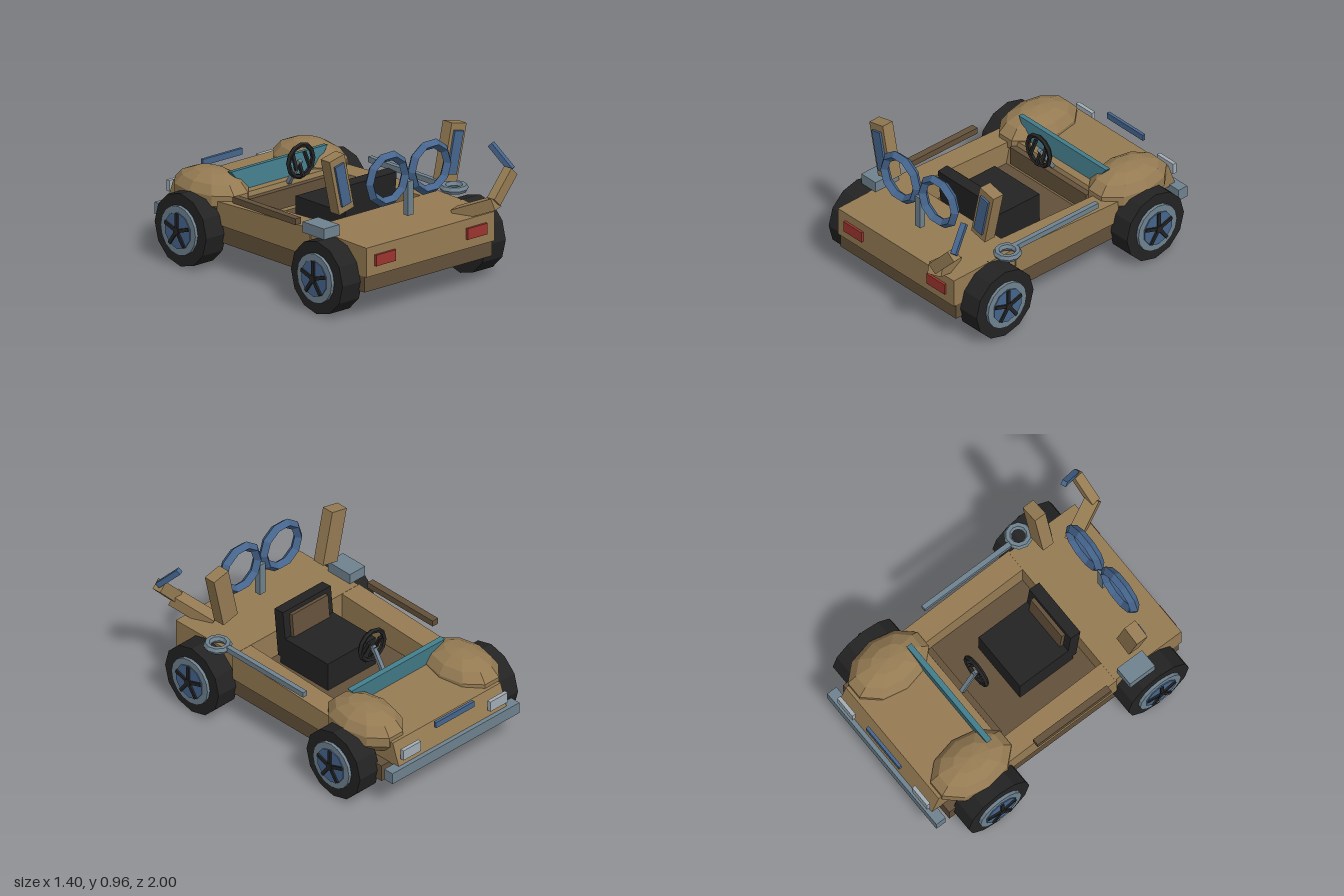
import * as THREE from 'three';

const mat = (name, color) => {
  const m = new THREE.MeshStandardMaterial({ color, flatShading: true });
  m.name = name;
  return m;
};

export function createModel() {
  const tan = mat('tan paint', 0x957b53), brown = mat('dark brown', 0x62503a);
  const black = mat('black rubber', 0x232323), steel = mat('steel', 0x6f828f);
  const blue = mat('blue', 0x46658d), teal = mat('teal glass', 0x437d8b);
  const red = mat('red lamp', 0x9c352f), pale = mat('pale lamp', 0xa2adb5);

  const car = new THREE.Group();
  car.name = 'buggy';

  const add = (name, geo, m, x = 0, y = 0, z = 0, parent = car) => {
    const mesh = new THREE.Mesh(geo, m);
    mesh.name = name;
    mesh.position.set(x, y, z);
    parent.add(mesh);
    return mesh;
  };
  // Box given by its minimum and maximum on each axis
  const box = (name, m, x0, x1, y0, y1, z0, z1, parent = car) =>
    add(name, new THREE.BoxGeometry(x1 - x0, y1 - y0, z1 - z0), m,
      (x0 + x1) / 2, (y0 + y1) / 2, (z0 + z1) / 2, parent);
  // Side profile of [z, y] points extruded across x0..x1
  const slab = (name, m, pts, x0, x1) => {
    const shape = new THREE.Shape(pts.map(([z, y]) => new THREE.Vector2(-z, y)));
    const geo = new THREE.ExtrudeGeometry(shape, { depth: x1 - x0, bevelEnabled: false });
    geo.rotateY(Math.PI / 2);
    return add(name, geo, m, x0, 0, 0);
  };
  // Square bar running between two points
  const bar = (name, m, a, b, w, d, parent = car) => {
    const p = new THREE.Vector3(...a), q = new THREE.Vector3(...b);
    const mesh = add(name, new THREE.BoxGeometry(w, d, p.distanceTo(q)), m, 0, 0, 0, parent);
    mesh.position.copy(p).add(q).multiplyScalar(0.5);
    mesh.lookAt(q);
    return mesh;
  };

  // Body
  box('chassis', brown, -0.515, 0.515, 0.17, 0.28, -0.89, 0.855);
  slab('rearDeck', tan, [[0.37, 0.27], [0.875, 0.27], [0.875, 0.455], [0.37, 0.462]], -0.517, 0.517);
  slab('hood', tan, [[-0.36, 0.275], [-0.4, 0.45], [-0.92, 0.43], [-0.975, 0.275]], -0.45, 0.45);
  box('dashboard', brown, -0.34, 0.34, 0.3, 0.42, -0.4, -0.355);
  const sill = [[-0.45, 0.28], [0.38, 0.28], [0.38, 0.461], [-0.45, 0.425]];
  slab('leftSill', tan, sill, 0.38, 0.525);
  slab('rightSill', tan, sill, -0.525, -0.38);

  // Windscreen, narrower at its foot
  const glass = new THREE.Shape([[-0.28, 0], [0.28, 0], [0.39, 0.14], [-0.39, 0.14]]
    .map((p) => new THREE.Vector2(...p)));
  const screen = add('windscreen',
    new THREE.ExtrudeGeometry(glass, { depth: 0.035, bevelEnabled: false }), teal, 0, 0.43, -0.49);
  screen.rotation.x = -0.1;

  // Nose
  box('bumper', steel, -0.53, 0.53, 0.21, 0.285, -1, -0.93);
  box('badgeStrip', blue, -0.16, 0.16, 0.435, 0.475, -0.995, -0.975);

  for (const s of [-1, 1]) {
    const side = s > 0 ? 'left' : 'right';

    // Faceted front fender
    const fender = add(side + 'Fender', new THREE.SphereGeometry(1, 10, 7), tan, s * 0.4, 0.425, -0.635);
    fender.scale.set(0.19, 0.143, 0.285);

    // Lamps
    add(side + 'Headlight', new THREE.BoxGeometry(0.145, 0.07, 0.025), pale, s * 0.362, 0.37, -0.985);
    add(side + 'TailLight', new THREE.BoxGeometry(0.16, 0.07, 0.025), red, s * 0.37, 0.365, 0.878);

    // Leaning upright with a blue panel
    const ear = new THREE.Group();
    ear.name = side + 'Upright';
    ear.position.set(s * 0.455, 0.772, 0.548);
    ear.rotation.z = -s * 0.22;
    car.add(ear);
    add('uprightPost', new THREE.BoxGeometry(0.123, 0.36, 0.08), tan, 0, 0, 0, ear);
    add('uprightPanel', new THREE.BoxGeometry(0.073, 0.27, 0.014), blue, 0, 0, 0.047, ear);

    // Rear ring
    const ring = add(side + 'Ring', new THREE.TorusGeometry(0.145, 0.03, 4, 10), blue, s * 0.17, 0.767, 0.68);
    ring.scale.z = 1.15;

    // Wheels: tyre, rim, hub disc and five spokes
    for (const [end, z] of [['Rear', 0.59], ['Front', -0.625]]) {
      const wheel = new THREE.Group();
      wheel.name = side + end + 'Wheel';
      wheel.position.set(s * 0.58, 0.23, z);
      wheel.rotation.y = s * Math.PI / 2;
      car.add(wheel);
      const disc = (name, m, r, z0, z1, n) => {
        const geo = new THREE.CylinderGeometry(r, r, z1 - z0, n);
        geo.rotateX(Math.PI / 2);
        add(name, geo, m, 0, 0, (z0 + z1) / 2, wheel);
      };
      disc('tyre', black, 0.23, -0.08, 0.08, 12);
      disc('rim', steel, 0.155, 0.07, 0.1, 16);
      disc('hubDisc', blue, 0.115, 0.095, 0.106, 10);
      disc('hubCap', black, 0.025, 0.1, 0.12, 8);
      for (let i = 0; i < 5; i++) {
        const a = Math.PI / 2 + i * Math.PI * 2 / 5;
        const spoke = add('spoke', new THREE.BoxGeometry(0.11, 0.022, 0.016), black,
          Math.cos(a) * 0.055, Math.sin(a) * 0.055, 0.109, wheel);
        spoke.rotation.z = a;
      }
    }
  }
  box('ringStalk', steel, -0.024, 0.024, 0.505, 0.72, 0.66, 0.7);

  // Seat
  box('seatCushion', black, -0.2, 0.2, 0.28, 0.472, -0.105, 0.3);
  const back = new THREE.Group();
  back.name = 'seatBack';
  back.position.set(0, 0.45, 0.27);
  back.rotation.x = 0.1;
  car.add(back);
  box('backrest', black, -0.2, 0.2, -0.12, 0.205, -0.01, 0.065, back);
  box('backPanel', brown, -0.15, 0.15, 0.02, 0.175, -0.035, -0.01, back);

  // Steering wheel and column
  const steering = new THREE.Group();
  steering.name = 'steeringWheel';
  steering.position.set(0, 0.605, -0.28);
  car.add(steering);
  add('steeringRim', new THREE.TorusGeometry(0.1, 0.016, 5, 12), black, 0, 0, 0, steering);
  for (const a of [0, Math.PI, -Math.PI / 2])
    bar('steeringSpoke', black, [0, 0, 0], [Math.cos(a) * 0.1, Math.sin(a) * 0.1, 0], 0.018, 0.018, steering);
  bar('steeringColumn', steel, [0, 0.605, -0.285], [0, 0.44, -0.39], 0.025, 0.025);

  // Side rail, pole with ring end, and deck case
  box('rightRail', brown, -0.57, -0.525, 0.47, 0.51, -0.26, 0.3);
  box('poleShaft', steel, 0.525, 0.557, 0.482, 0.517, -0.26, 0.4);
  const loop = add('poleRing', new THREE.TorusGeometry(0.065, 0.024, 6, 10), steel, 0.555, 0.498, 0.475);
  loop.rotation.x = Math.PI / 2;
  box('deckCase', steel, -0.612, -0.485, 0.462, 0.53, 0.41, 0.6);

  // Jointed arm at the rear left
  bar('lowerArm', tan, [0.345, 0.44, 0.72], [0.45, 0.548, 0.965], 0.09, 0.075);
  bar('upperArm', tan, [0.44, 0.555, 0.955], [0.592, 0.715, 0.94], 0.06, 0.073);
  bar('armTip', blue, [0.595, 0.72, 0.945], [0.545, 0.86, 0.815], 0.035, 0.035);

  return car;
}
